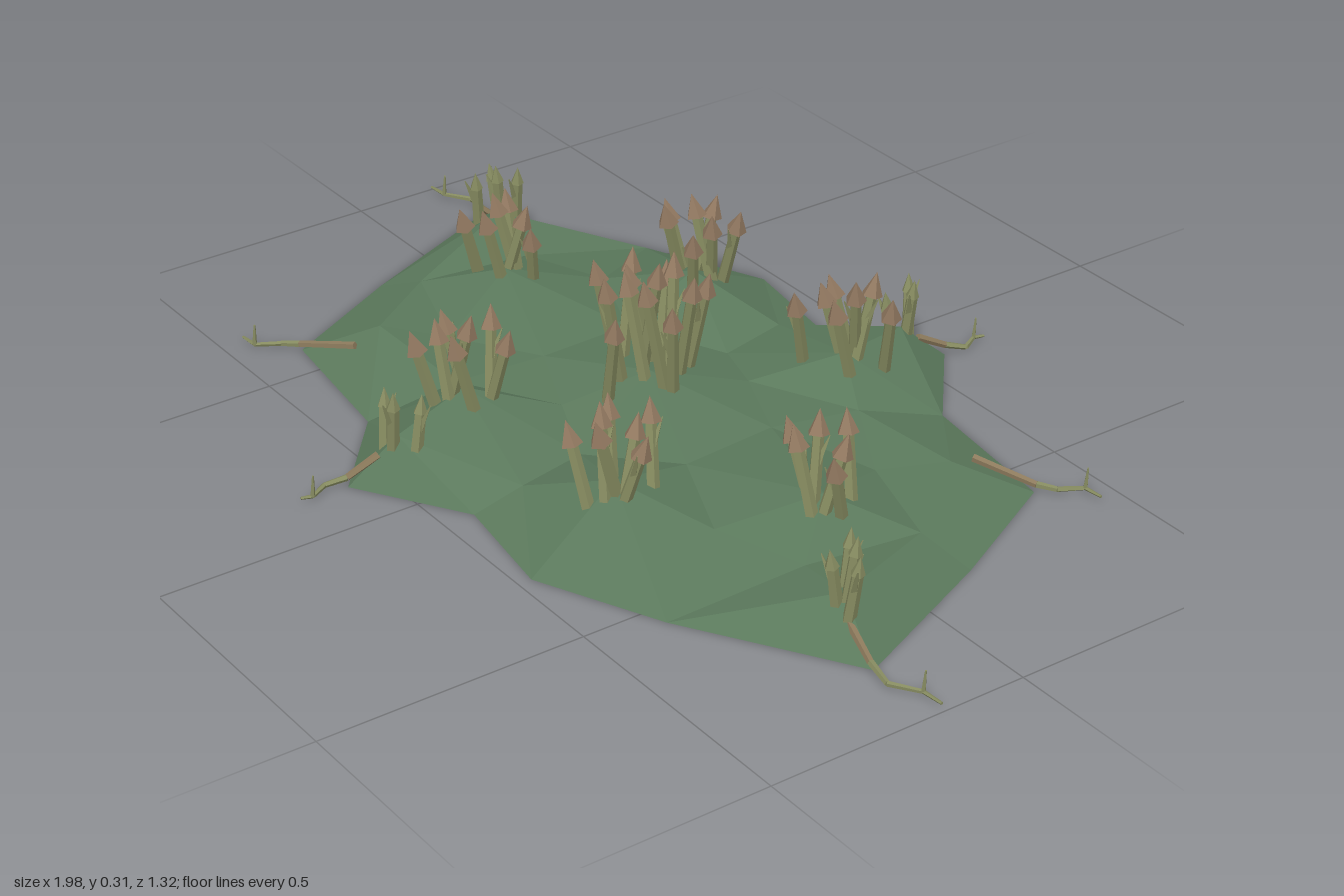
import * as THREE from 'three';

const material = (name, color) => {
  const m = new THREE.MeshStandardMaterial({ color, flatShading: true });
  m.name = name;
  return m;
};
const moss = material('moss green', 0x5b795c);
const soil = material('soil brown', 0x8a755f);
const olive = material('stalk olive', 0x868b60);
const capBrown = material('cap brown', 0x917860);
const rootBrown = material('root brown', 0x8c7a5c);
moss.side = soil.side = THREE.DoubleSide;

// The mat repeats itself after half a turn: x, z and the rest of each row
const withHalfTurn = (rows) => [...rows, ...rows.map(([x, z, ...rest]) => [-x, -z, ...rest])];

// Outline at ground level, as x, z
const OUTLINE = withHalfTurn([
  [-0.847, -0.18], [-0.545, -0.367], [-0.31, -0.474], [-0.085, -0.44],
  [0.117, -0.567], [0.288, -0.422], [0.582, -0.383], [0.71, -0.135],
]);

// Stalk clusters, one on each mound: x, z, mound height, stalks, spread, tallest tip
const CLUSTERS = [
  [-0.02, 0, 0.09, 13, 0.125, 0.315],
  ...withHalfTurn([
    [-0.265, -0.275, 0.1, 7, 0.09, 0.25],
    [0.145, -0.31, 0.1, 7, 0.1, 0.26],
    [-0.49, -0.005, 0.09, 6, 0.085, 0.245],
    [-0.725, -0.145, 0.07, 4, 0.05, 0.185],
    [0.1, -0.475, 0.08, 3, 0.05, 0.185],
  ]),
];

// Hollows between the mounds, as x, z
const HOLLOWS = withHalfTurn([
  [-0.42, -0.18], [-0.23, -0.1], [-0.07, -0.21], [0.06, -0.16], [0.25, -0.26], [0.41, -0.17],
  [0.22, -0.09], [0.62, -0.1], [-0.59, -0.12], [0.49, -0.27], [-0.1, -0.35],
]);

const insideOutline = (x, z) => {
  let inside = false;
  OUTLINE.forEach(([ax, az], i) => {
    const [bx, bz] = OUTLINE[(i + 1) % OUTLINE.length];
    if ((az > z) !== (bz > z) && x < ax + ((z - az) / (bz - az)) * (bx - ax)) inside = !inside;
  });
  return inside;
};

// Join every three points whose circle holds no other point
function mossGeometry() {
  const pts = [
    ...OUTLINE.map(([x, z]) => [x, z, 0]),
    ...CLUSTERS,
    ...HOLLOWS.map(([x, z], i) => [x, z, 0.045 + 0.012 * Math.sin(i * 2.3)]),
  ];
  const pos = [];
  for (let i = 0; i < pts.length; i++)
    for (let j = i + 1; j < pts.length; j++)
      for (let k = j + 1; k < pts.length; k++) {
        const a = pts[i], b = pts[j], c = pts[k];
        const bx = b[0] - a[0], bz = b[1] - a[1], cx = c[0] - a[0], cz = c[1] - a[1];
        const d = 2 * (bx * cz - bz * cx);
        if (Math.abs(d) < 1e-6) continue;
        const bb = bx * bx + bz * bz, cc = cx * cx + cz * cz;
        const ux = (cz * bb - bz * cc) / d, uz = (bx * cc - cx * bb) / d;
        const r = Math.hypot(ux, uz) - 1e-9;
        if (pts.some((p) => p !== a && p !== b && p !== c
          && Math.hypot(p[0] - a[0] - ux, p[1] - a[1] - uz) < r)) continue;
        if (!insideOutline((a[0] + b[0] + c[0]) / 3, (a[1] + b[1] + c[1]) / 3)) continue;
        for (const p of d > 0 ? [a, c, b] : [a, b, c]) pos.push(p[0], p[2], p[1]);
      }
  const g = new THREE.BufferGeometry();
  g.setAttribute('position', new THREE.Float32BufferAttribute(pos, 3));
  g.computeVertexNormals();
  return g;
}

// Tapered rod from a to b
function rod(name, a, b, r0, r1, mat, sides = 5) {
  const dir = b.clone().sub(a);
  const mesh = new THREE.Mesh(new THREE.CylinderGeometry(r1, r0, dir.length(), sides), mat);
  mesh.position.copy(a).addScaledVector(dir, 0.5);
  mesh.quaternion.setFromUnitVectors(new THREE.Vector3(0, 1, 0), dir.normalize());
  mesh.name = name;
  return mesh;
}

// Stalks spiral out from the cluster centre, lean outwards and get shorter
function stalkCluster([x, z, ground, count, spread, tallest]) {
  const cluster = new THREE.Group();
  cluster.name = 'stalk cluster';
  const capped = tallest > 0.2;
  for (let i = 0; i < count; i++) {
    const g = new THREE.Group();
    g.name = 'stalk';
    const angle = i * 2.4 + x * 7 + z * 3;
    const out = Math.sqrt((i + 0.6) / count);
    const drop = (tallest - ground) * (0.3 * (out - 0.2) + 0.08 * Math.sin(i * 1.9));
    const tip = new THREE.Vector3(
      x + Math.cos(angle) * spread * out, Math.min(tallest, tallest - drop), z + Math.sin(angle) * spread * out);
    const lean = angle + 0.9 * Math.sin(i * 2.7 + x * 5);
    const reach = capped ? 0.05 : 0.02;
    const base = new THREE.Vector3(tip.x - Math.cos(lean) * reach, ground - 0.05, tip.z - Math.sin(lean) * reach);
    const neck = tip.clone().addScaledVector(tip.clone().sub(base).normalize(), capped ? -0.045 : -0.035);
    g.add(rod('stem', base, neck, 0.0125, 0.0105, olive));
    g.add(rod('tip', neck, tip, capped ? 0.02 : 0.013, 0, capped ? capBrown : olive));
    // Small side shoot, on every bare stalk and every other capped one
    if (!capped || i % 2 === 0) {
      const from = base.clone().lerp(neck, 0.65);
      const to = from.clone().add(new THREE.Vector3(Math.cos(lean + 1) * 0.024, 0.055, Math.sin(lean + 1) * 0.024));
      g.add(rod('side shoot', from, to, 0.009, 0.001, olive, 4));
    }
    cluster.add(g);
  }
  return cluster;
}

// Root runners over the mat's points: x, z, y at each bend
const ROOTS = [
  [[-0.75, -0.16, 0.04], [-0.845, -0.185, 0.016], [-0.9, -0.195, 0.01], [-0.95, -0.163, 0.01], [-0.992, -0.16, 0.01]],
  [[0.107, -0.51, 0.05], [0.117, -0.568, 0.02], [0.132, -0.605, 0.01], [0.112, -0.64, 0.01], [0.118, -0.66, 0.01]],
  [[0.48, -0.33, 0.038], [0.582, -0.387, 0.014], [0.61, -0.41, 0.01], [0.635, -0.452, 0.01], [0.672, -0.455, 0.01]],
].flatMap((path) => [path, path.map(([x, z, y]) => [-x, -z, y])]);

function rootRunner(path) {
  const g = new THREE.Group();
  g.name = 'root runner';
  const p = path.map(([x, z, y]) => new THREE.Vector3(x, y, z));
  for (let i = 0; i < 4; i++)
    g.add(rod('root segment', p[i], p[i + 1], 0.0075 - i * 0.0012, 0.0063 - i * 0.0012, i ? olive : rootBrown));
  // Upright twig
  const top = p[3].clone().add(new THREE.Vector3(0.004, 0.042, 0));
  g.add(rod('twig', p[3], top, 0.005, 0.002, olive, 4));
  return g;
}

export function createModel() {
  const model = new THREE.Group();
  model.name = 'moss mat with shoots';

  const mat = new THREE.Mesh(mossGeometry(), moss);
  mat.name = 'moss mat';
  model.add(mat);

  const shape = new THREE.Shape(OUTLINE.map(([x, z]) => new THREE.Vector2(x, z)));
  const underside = new THREE.Mesh(new THREE.ShapeGeometry(shape).rotateX(Math.PI / 2), soil);
  underside.name = 'underside';
  model.add(underside);

  CLUSTERS.forEach((c) => model.add(stalkCluster(c)));
  ROOTS.forEach((r) => model.add(rootRunner(r)));
  return model;
}
